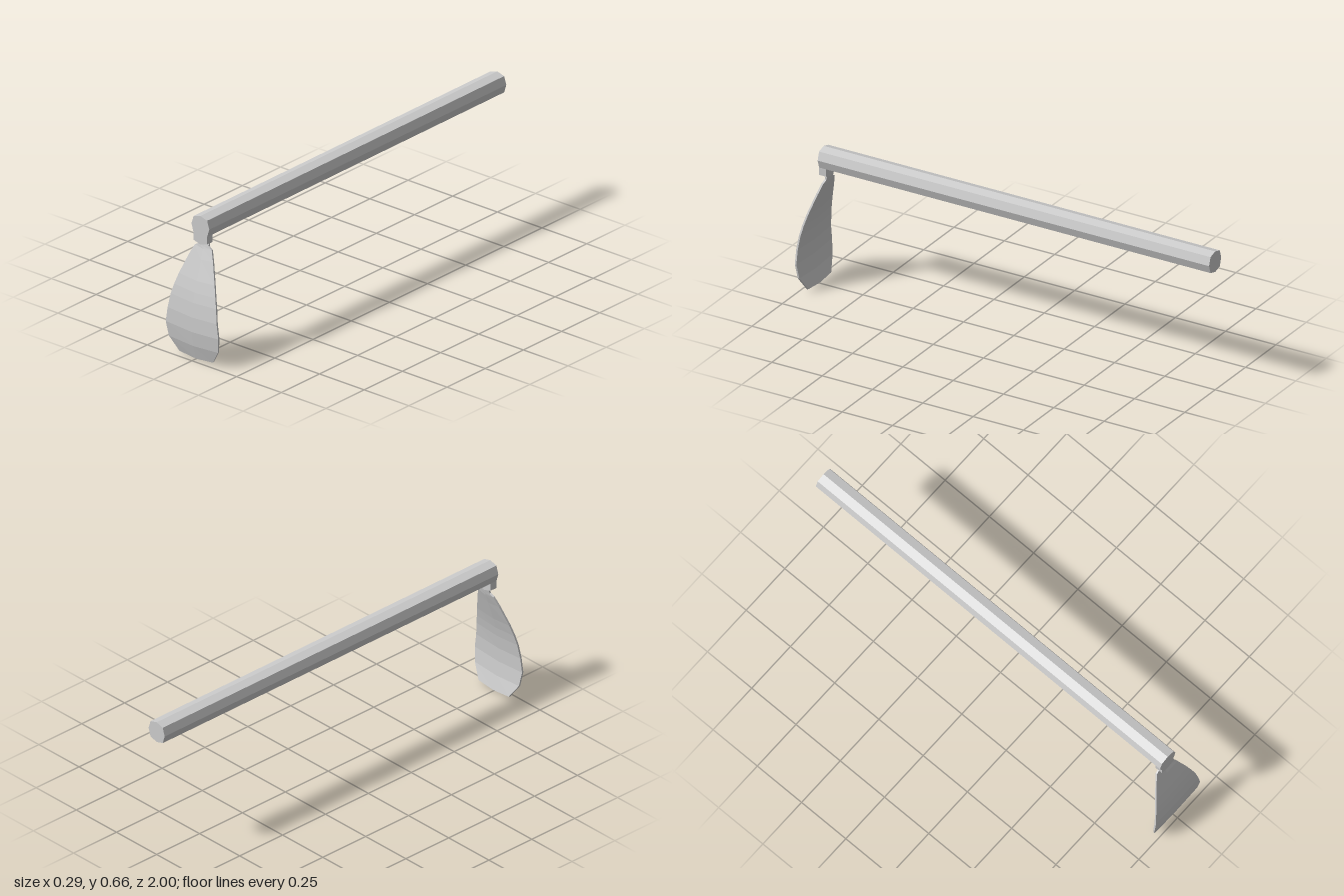
import * as THREE from 'three';

const material = new THREE.MeshStandardMaterial({ color: 0xcccccc, flatShading: true });

// Extrudes a symmetric outline, given by its right half from top to bottom, along z
function prism(name, half, z0, z1) {
  const left = half.slice(1, -1).reverse().map(([x, y]) => [-x, y]);
  const shape = new THREE.Shape([...half, ...left].map(([x, y]) => new THREE.Vector2(x, y)));
  const geometry = new THREE.ExtrudeGeometry(shape, { depth: z1 - z0, bevelEnabled: false });
  geometry.translate(0, 0, z0);
  const mesh = new THREE.Mesh(geometry, material);
  mesh.name = name;
  return mesh;
}

// Thin curved blade lofted through closed six-point cross-sections
function bladeGeometry() {
  // edge height, half width, depth
  const rows = [
    [0.54, 0.027, 0.914], [0.516, 0.027, 0.919], [0.505, 0.047, 0.922],
    [0.46, 0.067, 0.937], [0.37, 0.1, 0.965], [0.32, 0.115, 0.978],
    [0.275, 0.127, 0.987], [0.21, 0.137, 0.995], [0.143, 0.147, 0.996],
    [0.075, 0.137, 0.987], [0.01, 0.094, 0.968],
  ];
  const t = 0.004, sag = 0.009, n = 6;
  const positions = [], index = [];
  rows.forEach(([y, w, z], i) => {
    // offset each side along the profile normal
    const a = rows[Math.max(i - 1, 0)], b = rows[Math.min(i + 1, rows.length - 1)];
    const len = Math.hypot(a[0] - b[0], b[2] - a[2]);
    const ny = (b[2] - a[2]) / len * t, nz = (a[0] - b[0]) / len * t;
    for (const side of [1, -1]) {
      for (const x of [-side, 0, side]) {
        positions.push(x * w, y + side * ny - (x === 0 ? sag : 0), z + side * nz);
      }
    }
    if (i === 0) return;
    for (let j = 0; j < n; j++) {
      const k = (j + 1) % n, top = (i - 1) * n, low = i * n;
      index.push(top + j, low + j, low + k, top + j, low + k, top + k);
    }
  });
  // end caps
  const last = (rows.length - 1) * n;
  for (const [p, q, r, s] of [[0, 1, 4, 5], [1, 2, 3, 4]]) {
    index.push(p, q, r, p, r, s);
    index.push(last + p, last + r, last + q, last + p, last + s, last + r);
  }
  const geometry = new THREE.BufferGeometry();
  geometry.setAttribute('position', new THREE.Float32BufferAttribute(positions, 3));
  geometry.setIndex(index);
  geometry.computeVertexNormals();
  return geometry;
}

export function createModel() {
  const model = new THREE.Group();
  model.name = 'hoe';

  // Eight-sided handle and the socket that drops below its front end
  const upper = [[0, 0.658], [0.038, 0.647], [0.05, 0.609], [0.038, 0.571]];
  model.add(prism('handle', [...upper, [0, 0.56]], -1, 0.91));
  model.add(prism('socket', [...upper, [0.038, 0.536], [0, 0.524]], 0.91, 0.945));

  const blade = new THREE.Mesh(bladeGeometry(), material);
  blade.name = 'blade';
  model.add(blade);
  return model;
}
